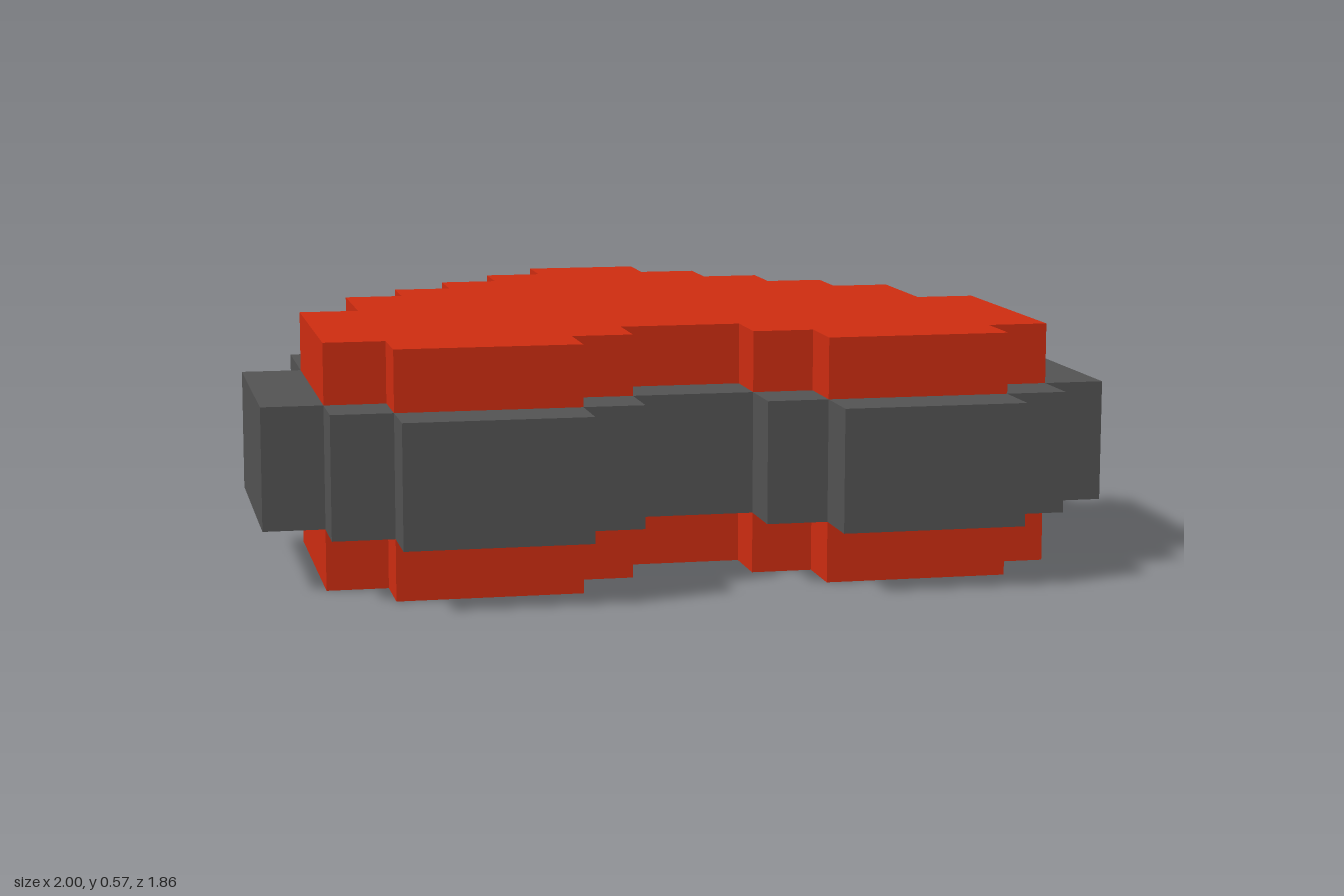
import * as THREE from 'three';

const U = 1 / 7; // one grid cell

export function createModel() {
  const model = new THREE.Group();
  const red = new THREE.MeshStandardMaterial({ color: 0xcc2c10 });
  red.name = 'red';
  const grey = new THREE.MeshStandardMaterial({ color: 0x525252 });
  grey.name = 'darkGrey';

  // Stepped heart core: half outline [x, z] in cells, from the back tip to the front notch
  const half = [
    [1, -5.5], [1, -4.5], [2, -4.5], [2, -3.5], [3, -3.5], [3, -2.5], [4, -2.5], [4, -1.5],
    [5, -1.5], [5, 0.5], [6, 0.5], [6, 4.5], [5, 4.5], [5, 5.5], [2, 5.5], [2, 4.5], [1, 4.5], [1, 3.5],
  ];
  const outline = [...half, ...half.map(([x, z]) => [-x, z]).reverse()];
  const shape = new THREE.Shape(outline.map(([x, z]) => new THREE.Vector2(x * U, z * U)));
  const coreGeometry = new THREE.ExtrudeGeometry(shape, { depth: 4 * U, bevelEnabled: false });
  coreGeometry.rotateX(Math.PI / 2).translate(0, 4 * U, 0);
  const core = new THREE.Mesh(coreGeometry, red);
  core.name = 'heartCore';
  model.add(core);

  // Rim of blocks around the middle two layers
  const rim = new THREE.Group();
  rim.name = 'rim';
  model.add(rim);
  const addBlock = (name, x0, x1, z0, z1) => {
    const geometry = new THREE.BoxGeometry((x1 - x0) * U, 2 * U, (z1 - z0) * U);
    const block = new THREE.Mesh(geometry, grey);
    block.position.set((x0 + x1) / 2 * U, 2 * U, (z0 + z1) / 2 * U);
    block.name = name;
    rim.add(block);
  };
  addBlock('backTip', -1, 1, -6.5, -5.5);
  addBlock('frontNotch', -1, 1, 3.5, 4.5);

  // Mirrored blocks: [x0, x1, z0, z1] in cells
  const sideBlocks = [
    [1, 2, -5.5, -4.5], [2, 3, -4.5, -3.5], [3, 4, -3.5, -2.5], [4, 5, -2.5, -1.5],
    [5, 6, -1.5, 0.5], [6, 7, 0.5, 4.5], [5, 6, 4.5, 5.5], [2, 5, 5.5, 6.5], [1, 2, 4.5, 5.5],
  ];
  sideBlocks.forEach(([x0, x1, z0, z1], i) => {
    addBlock(`leftRimBlock${i + 1}`, x0, x1, z0, z1);
    addBlock(`rightRimBlock${i + 1}`, -x1, -x0, z0, z1);
  });

  return model;
}
